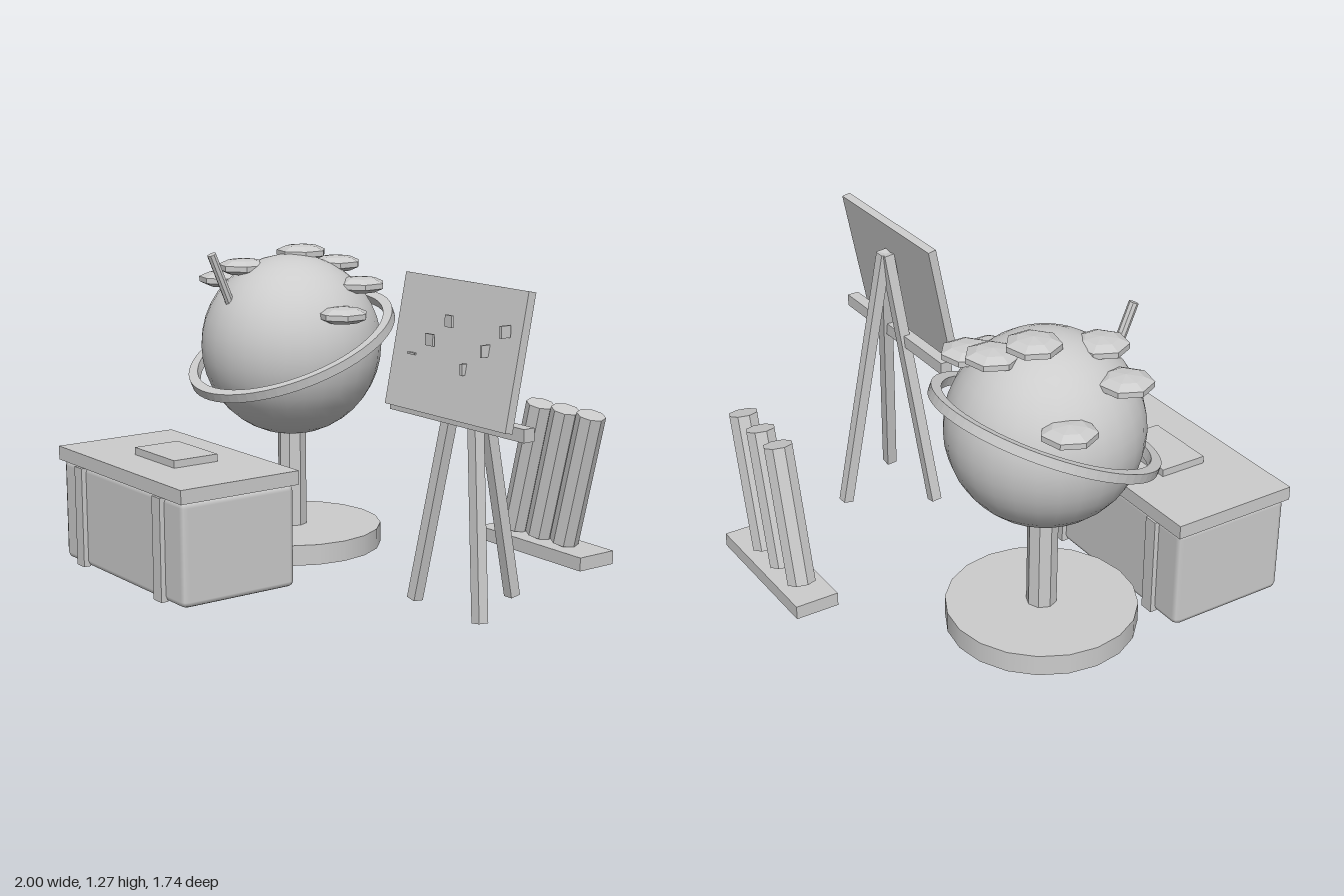
import * as THREE from 'three';
import { RoundedBoxGeometry } from 'three/addons/geometries/RoundedBoxGeometry.js';

const grey = new THREE.MeshStandardMaterial({ color: 0xcccccc });
grey.name = 'plain grey';

function add(parent, name, geometry, x, y, z) {
  const mesh = new THREE.Mesh(geometry, grey);
  mesh.name = name;
  mesh.position.set(x, y, z);
  parent.add(mesh);
  return mesh;
}

function group(parent, name) {
  const g = new THREE.Group();
  g.name = name;
  parent.add(g);
  return g;
}

const box = (w, h, d) => new THREE.BoxGeometry(w, h, d);

// Faceted copy of a geometry
function faceted(geometry) {
  const g = geometry.toNonIndexed();
  g.computeVertexNormals();
  return g;
}

// Square bar between two points
function bar(parent, name, from, to, width) {
  const a = new THREE.Vector3(...from), b = new THREE.Vector3(...to);
  const dir = b.clone().sub(a);
  const mesh = add(parent, name, box(width, dir.length(), width), 0, 0, 0);
  mesh.position.copy(a).add(b).multiplyScalar(0.5);
  mesh.quaternion.setFromUnitVectors(new THREE.Vector3(0, 1, 0), dir.normalize());
}

function buildGlobe(root) {
  const g = group(root, 'globe');
  const x = -0.55, y = 0.857, z = -0.053, tilt = 0.4;
  add(g, 'globeBase', new THREE.CylinderGeometry(0.375, 0.375, 0.085, 20), x, 0.0425, z);
  add(g, 'globeStand', faceted(new THREE.CylinderGeometry(0.06, 0.06, 0.45, 8)), x, 0.3, z);
  add(g, 'globeBall', new THREE.SphereGeometry(0.377, 28, 20), x, y, z);

  // Tilted flat ring around the ball
  const outline = new THREE.Shape().absarc(0, 0, 0.45, 0, Math.PI * 2, false);
  outline.holes.push(new THREE.Path().absarc(0, 0, 0.41, 0, Math.PI * 2, true));
  const ringGeo = new THREE.ExtrudeGeometry(outline, { depth: 0.038, bevelEnabled: false, curveSegments: 32 });
  ringGeo.translate(0, 0, -0.019);
  add(g, 'globeRing', ringGeo, x, y, z).rotation.x = tilt - Math.PI / 2;

  // Pin leaning with the ring's axis
  const pin = faceted(new THREE.CylinderGeometry(0.019, 0.019, 0.26, 8));
  add(g, 'globePin', pin, x + 0.002, 1.14, 0.285).rotation.x = tilt;

  // Flattened land masses
  const lands = [
    [-0.88, 1.02, -0.18], [-0.825, 1.115, 0.1], [-0.645, 1.185, 0.12], [-0.595, 1.232, -0.14],
    [-0.515, 1.185, -0.26], [-0.325, 1.115, -0.245], [-0.195, 1.02, -0.06],
  ];
  const landGeo = new THREE.SphereGeometry(0.11, 7, 5);
  landGeo.scale(1, 0.32, 1);
  const landFlat = faceted(landGeo);
  lands.forEach((p, i) => { add(g, 'landMass', landFlat, ...p).rotation.y = i * 0.9; });
}

function buildChest(root) {
  const g = group(root, 'chest');
  const x = -0.432, z = 0.593;
  add(g, 'chestBody', new RoundedBoxGeometry(0.925, 0.415, 0.51, 1, 0.025), x, 0.2175, z);
  add(g, 'chestLid', box(0.948, 0.056, 0.535), x, 0.45, z);
  add(g, 'lidPlate', box(0.3, 0.03, 0.2), -0.43, 0.493, 0.592);
  for (const sx of [-0.735, -0.13]) {
    for (const side of [-1, 1]) {
      add(g, 'chestStrap', box(0.058, 0.41, 0.03), sx, 0.215, z + side * 0.26);
    }
  }
}

function buildScrollRack(root) {
  const g = group(root, 'scrollRack');
  add(g, 'rackBase', box(0.625, 0.056, 0.182), 0.2425, 0.042, -0.78);
  const roll = faceted(new THREE.CylinderGeometry(0.06, 0.06, 0.57, 8));
  for (let i = 0; i < 3; i++) {
    add(g, 'scroll', roll, 0.132 + i * 0.15, 0.36, -0.78).rotation.z = -0.25;
  }
}

function buildEasel(root) {
  const g = group(root, 'easel');
  const x = 0.6125;
  add(g, 'board', box(0.695, 0.508, 0.035), x, 0.996, 0.0125).rotation.x = -0.2;
  add(g, 'ledge', box(0.77, 0.05, 0.05), x, 0.74, 0);
  for (const side of [-1, 1]) {
    bar(g, 'frontLeg', [x + side * 0.192, 0.006, 0.052], [x + side * 0.012, 1.11, -0.052], 0.044);
  }
  bar(g, 'rearLeg', [x, 0.006, -0.275], [x, 1.11, -0.06], 0.044);

  // Small markers fixed to the board: centre, then size
  const markers = [
    [0.38, 0.955, 0.04, 0.045, 0.008, 0.012], [0.485, 1.02, 0.04, 0.045, 0.045, 0.009],
    [0.59, 1.102, 0.035, 0.04, 0.045, 0.009], [0.69, 0.938, 0.04, 0.013, 0.042, 0.042],
    [0.8, 1.02, 0.04, 0.009, 0.044, 0.042], [0.903, 1.103, 0.038, 0.011, 0.044, 0.044],
  ];
  for (const [mx, my, mz, w, h, d] of markers) add(g, 'marker', box(w, h, d), mx, my, mz);
}

export function createModel() {
  const root = new THREE.Group();
  root.name = 'mapRoomSet';
  buildGlobe(root);
  buildChest(root);
  buildScrollRack(root);
  buildEasel(root);
  return root;
}
